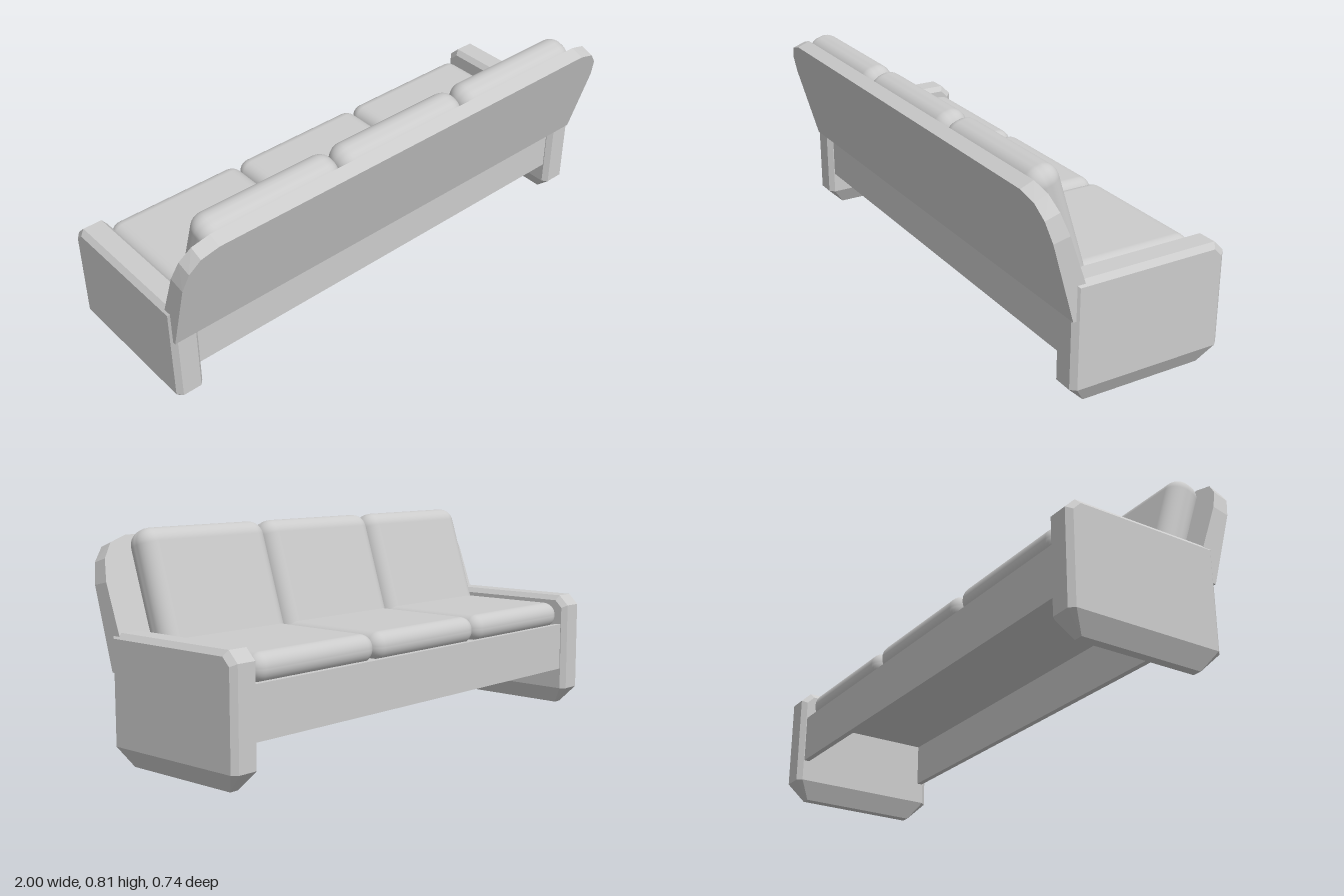
import * as THREE from 'three';
import { ConvexGeometry } from 'three/addons/geometries/ConvexGeometry.js';
import { RoundedBoxGeometry } from 'three/addons/geometries/RoundedBoxGeometry.js';

const material = new THREE.MeshStandardMaterial({ color: 0xcccccc });
const flatMaterial = new THREE.MeshStandardMaterial({ color: 0xcccccc, flatShading: true });

function addMesh(group, name, geometry, mat = flatMaterial) {
  const mesh = new THREE.Mesh(geometry, mat);
  mesh.name = name;
  group.add(mesh);
  return mesh;
}

function addBox(group, name, [x0, x1], [y0, y1], [z0, z1]) {
  addMesh(group, name, new THREE.BoxGeometry(x1 - x0, y1 - y0, z1 - z0))
    .position.set((x0 + x1) / 2, (y0 + y1) / 2, (z0 + z1) / 2);
}

// Chamfered arm slab: inset side faces, full-size core, narrow foot
function armGeometry(side) {
  const core = [[-0.37, 0.07], [-0.37, 0.425], [-0.33, 0.465], [0.245, 0.465], [0.245, 0.07]];
  const face = [[-0.35, 0.07], [-0.35, 0.415], [-0.32, 0.445], [0.225, 0.445], [0.225, 0.07]];
  const foot = [[-0.305, 0], [0.175, 0]];
  const layers = [[0.89, face], [0.907, core], [0.982, core], [1, face], [0.928, foot], [0.962, foot]];
  const points = layers.flatMap(([x, profile]) =>
    profile.map(([z, y]) => new THREE.Vector3(side * x, y, z)));
  return new ConvexGeometry(points);
}

// Leaning back board, rounded upper corners, thinner towards the top
function backBoardGeometry() {
  const outline = [[0.993, 0.325], [0.993, 0.62], [0.975, 0.695], [0.935, 0.745], [0.865, 0.766]];
  const points = [];
  for (const side of [-1, 1]) {
    for (const [x, y] of outline) {
      const frontY = 0.325 + (y - 0.325) * 1.045;
      points.push(new THREE.Vector3(side * x, y, 0.245 + 0.284 * (y - 0.325)));
      points.push(new THREE.Vector3(side * x, frontY, 0.2 + 0.358 * (frontY - 0.45)));
    }
  }
  return new ConvexGeometry(points);
}

export function createModel() {
  const sofa = new THREE.Group();
  sofa.name = 'sofa';

  addMesh(sofa, 'leftArm', armGeometry(1));
  addMesh(sofa, 'rightArm', armGeometry(-1));
  addMesh(sofa, 'backBoard', backBoardGeometry());

  // Open base frame between the arms
  const span = [-0.9, 0.9];
  addBox(sofa, 'seatRail', span, [0.155, 0.345], [-0.347, -0.325]);
  addBox(sofa, 'backRail', span, [0.155, 0.345], [0.2, 0.222]);
  addBox(sofa, 'seatDeck', span, [0.325, 0.34], [-0.33, 0.21]);

  // Three seat cushions and three leaning back cushions
  for (const x of [-0.595, -0.01, 0.575]) {
    addMesh(sofa, 'seatCushion', new RoundedBoxGeometry(0.583, 0.105, 0.53, 4, 0.05), material)
      .position.set(x, 0.385, -0.077);
    const back = addMesh(sofa, 'backCushion', new RoundedBoxGeometry(0.583, 0.477, 0.13, 4, 0.058), material);
    back.position.set(x, 0.578, 0.208);
    back.rotation.x = 0.305;
  }
  return sofa;
}
